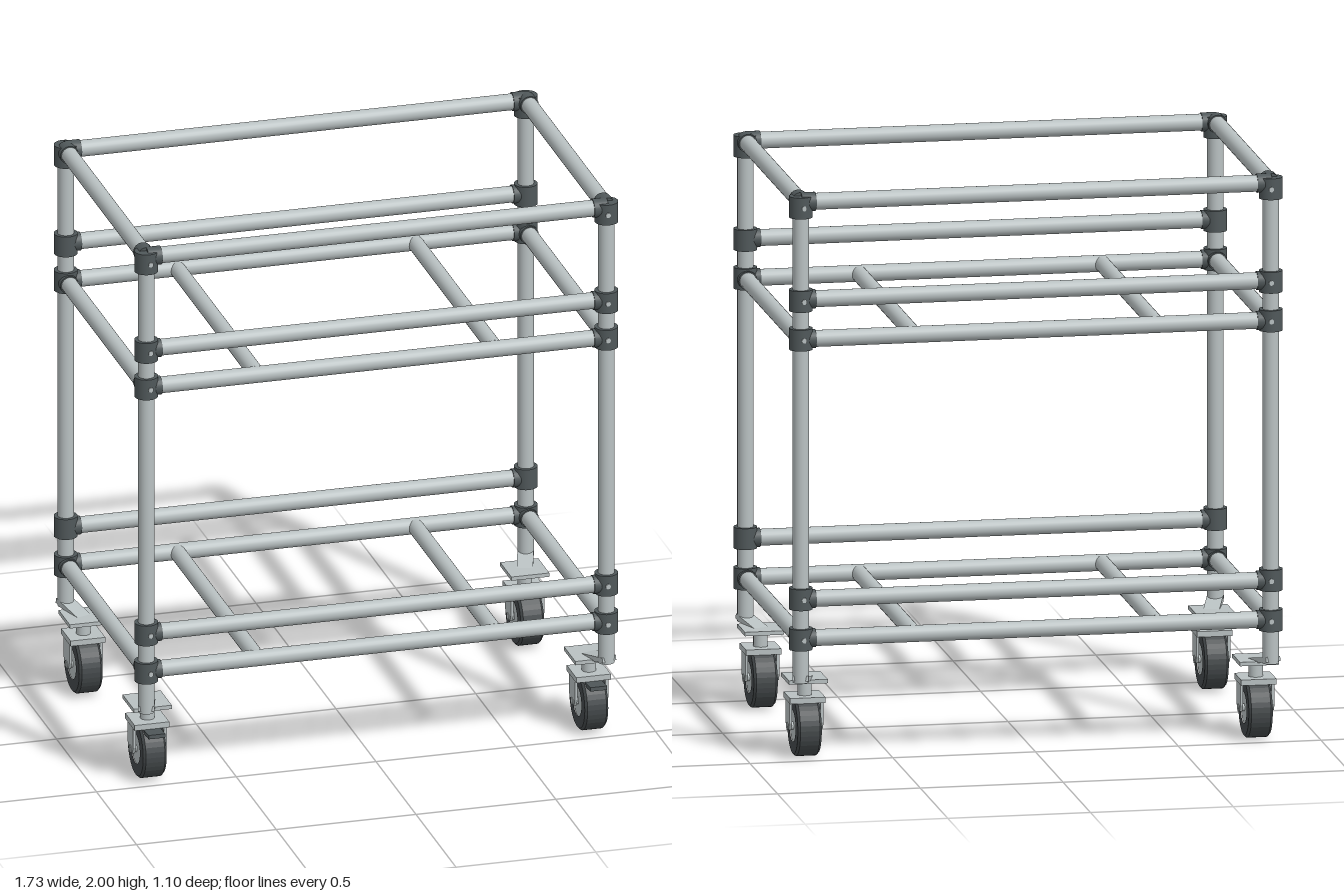
import * as THREE from 'three';

const steel = new THREE.MeshStandardMaterial({ color: 0xb9c1c2, side: THREE.DoubleSide });
const dark = new THREE.MeshStandardMaterial({ color: 0x50585a });
const rubber = new THREE.MeshStandardMaterial({ color: 0x454a4c });

const X = 0.823, Z = 0.504, R = 0.028;

function add(parent, name, geometry, material, x = 0, y = 0, z = 0) {
  const mesh = new THREE.Mesh(geometry, material);
  mesh.name = name;
  mesh.position.set(x, y, z);
  parent.add(mesh);
  return mesh;
}

// Cylinder lying along a chosen axis
function rod(radius, length, axis = 'y', sides = 24) {
  const g = new THREE.CylinderGeometry(radius, radius, length, sides);
  if (axis === 'x') g.rotateZ(Math.PI / 2);
  if (axis === 'z') g.rotateX(Math.PI / 2);
  return g;
}

// Clamp around a post, with short sockets toward its rails and a bolt head
function makeConnector(sx, sz, y, railY, hasSide) {
  const c = new THREE.Group();
  c.name = 'connector';
  c.position.set(sx * X, y, sz * Z);
  add(c, 'collar', rod(0.041, 0.075), dark);
  add(c, 'railSocket', rod(0.033, 0.05, 'x'), dark, -sx * 0.025, railY - y);
  if (hasSide) add(c, 'sideSocket', rod(0.033, 0.05, 'z'), dark, 0, railY - y, -sz * 0.025);
  add(c, 'bolt', rod(0.009, 0.008, 'z', 12), steel, -sx * 0.005, 0, sz * 0.04);
  return c;
}

// Swivel caster, origin on the ground below its stem
function makeCaster(sx, sz, braked) {
  const c = new THREE.Group();
  c.name = 'caster';
  c.position.set(sx * 0.79, 0, sz * 0.4);

  add(c, 'mountingPlate', new THREE.BoxGeometry(0.136, 0.014, 0.14), steel, 0, 0.272, 0);
  const arm = add(c, 'mountingArm', new THREE.BoxGeometry(0.056, 0.018, 0.14), steel, sx * 0.018, 0.283, sz * 0.057);
  arm.rotation.set(-sz * 0.2, sx * sz * 0.3, 0, 'YXZ');
  add(c, 'stem', rod(0.025, 0.065), steel, 0, 0.238, 0);

  // Fork
  add(c, 'forkTop', new THREE.BoxGeometry(0.124, 0.02, 0.12), steel, 0, 0.204, 0);
  const cheek = new THREE.Shape();
  cheek.moveTo(-0.035, 0.21);
  cheek.lineTo(0.035, 0.21);
  cheek.lineTo(0.035, 0.12);
  cheek.lineTo(0.022, 0.095);
  cheek.lineTo(-0.022, 0.095);
  cheek.lineTo(-0.035, 0.12);
  cheek.closePath();
  const cheekGeo = new THREE.ExtrudeGeometry(cheek, { depth: 0.01, bevelEnabled: false });
  cheekGeo.translate(0, 0, -0.005).rotateY(Math.PI / 2);
  for (const s of [-1, 1]) add(c, 'forkCheek', cheekGeo, steel, s * 0.055, 0, 0);

  // Wheel with a slightly rounded tread
  const tire = [[0.055, -0.042], [0.097, -0.042], [0.105, -0.034], [0.105, 0.034], [0.097, 0.042], [0.055, 0.042]];
  const tireGeo = new THREE.LatheGeometry(tire.map(([r, h]) => new THREE.Vector2(r, h)), 36);
  tireGeo.rotateZ(Math.PI / 2);
  const tireMesh = add(c, 'tire', tireGeo.toNonIndexed(), rubber, 0, 0.105, 0);
  tireMesh.geometry.computeVertexNormals();
  add(c, 'hub', rod(0.056, 0.08, 'x', 32), steel, 0, 0.105, 0);
  add(c, 'axle', rod(0.014, 0.124, 'x', 12), steel, 0, 0.105, 0);

  // Foot brake
  if (braked) {
    const pedal = add(c, 'brakePedal', new THREE.BoxGeometry(0.06, 0.014, 0.09), dark, 0, 0.188, sz * 0.08);
    pedal.rotation.x = -sz * 0.08;
  }
  return c;
}

export function createModel() {
  const model = new THREE.Group();
  model.name = 'trolleyFrame';

  // Rail heights, which levels carry side rails, and which carry shelf bars
  const levels = [
    { y: 1.971, collar: 1.955, side: true },
    { y: 1.628, collar: 1.626, side: false },
    { y: 1.488, collar: 1.49, side: true, bars: true },
    { y: 0.573, collar: 0.576, side: false },
    { y: 0.435, collar: 0.434, side: true, bars: true },
  ];

  // Corner posts and casters
  for (const sx of [-1, 1]) for (const sz of [-1, 1]) {
    add(model, 'post', rod(R, 1.705), steel, sx * X, 1.1325, sz * Z);
    model.add(makeCaster(sx, sz, sz > 0));
    for (const l of levels) model.add(makeConnector(sx, sz, l.collar, l.y, l.side));
  }

  // Horizontal rails
  for (const l of levels) for (const s of [-1, 1]) {
    add(model, 'longRail', rod(0.029, 2 * X - 0.02, 'x'), steel, 0, l.y, s * Z);
    if (l.side) add(model, 'sideRail', rod(0.029, 2 * Z - 0.02, 'z'), steel, s * X, l.y, 0);
    if (l.bars) add(model, 'shelfBar', rod(R, 2 * Z - 0.02, 'z'), steel, s * 0.426, l.y, 0);
  }
  return model;
}
